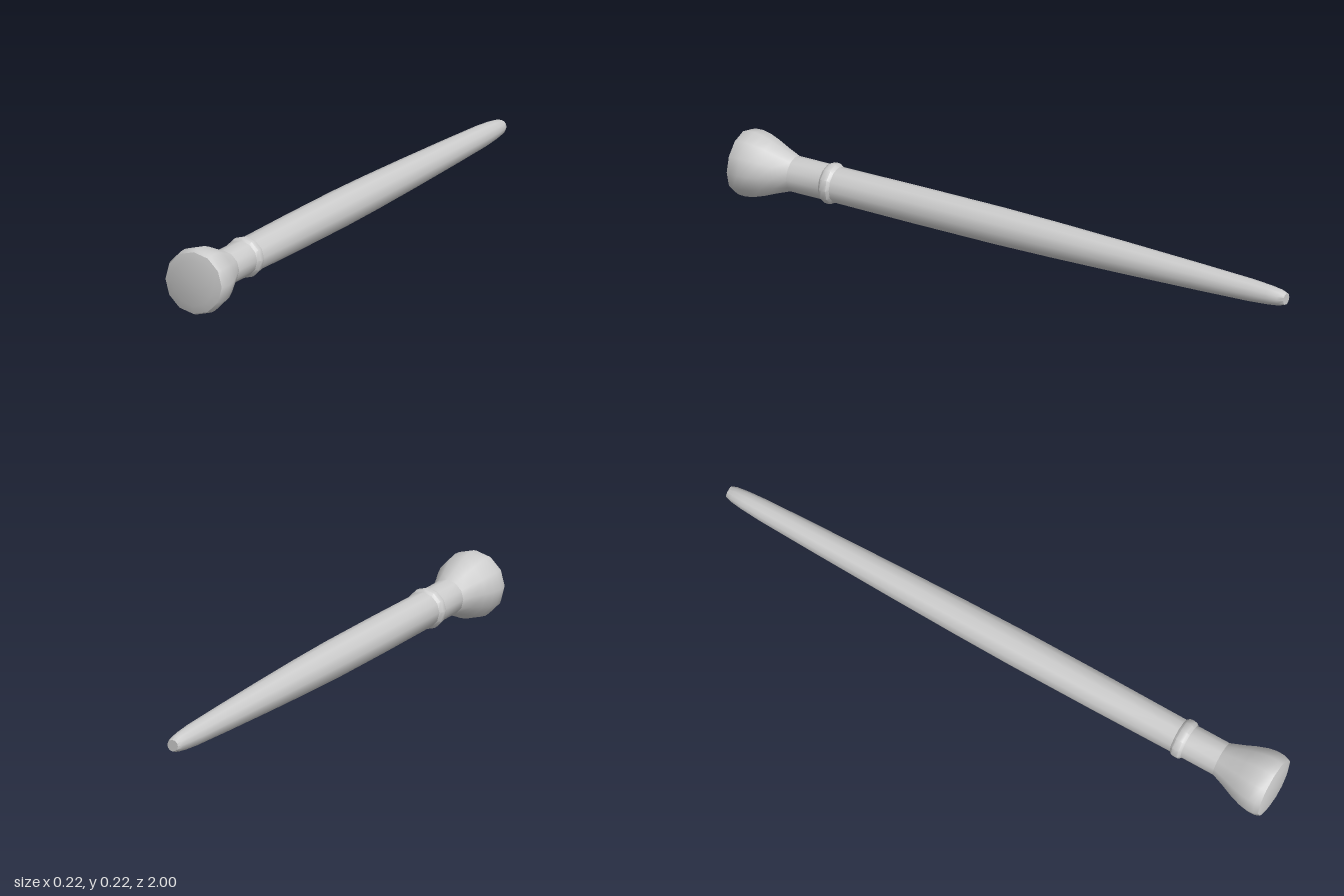
import * as THREE from 'three';
import { toCreasedNormals } from 'three/addons/utils/BufferGeometryUtils.js';

const SIDES = 12;
const AXIS_HEIGHT = 0.11;

// Turned part along z; profile points are [radius, z], running from back to front.
function turned(name, profile, material) {
  const points = profile.map(([r, z]) => new THREE.Vector2(r, z));
  const geometry = new THREE.LatheGeometry(points, SIDES);
  geometry.rotateX(Math.PI / 2);
  const mesh = new THREE.Mesh(toCreasedNormals(geometry, 0.7), material);
  mesh.name = name;
  mesh.position.y = AXIS_HEIGHT;
  return mesh;
}

export function createModel() {
  const model = new THREE.Group();
  model.name = 'stick';
  const material = new THREE.MeshStandardMaterial({ color: 0xcccccc });

  // Long shaft, slightly swollen, tapering to a blunt tip
  model.add(turned('shaft', [
    [0, -1], [0.019, -1], [0.026, -0.98], [0.031, -0.94], [0.036, -0.87],
    [0.043, -0.67], [0.051, -0.4], [0.057, -0.15], [0.06, 0.05],
    [0.06, 0.35], [0.058, 0.645],
  ], material));

  // Raised ring between shaft and neck
  model.add(turned('collar', [
    [0.057, 0.642], [0.066, 0.652], [0.067, 0.664], [0.066, 0.674], [0.057, 0.684],
  ], material));

  // Straight neck
  model.add(turned('neck', [[0.058, 0.645], [0.058, 0.802]], material));

  // Flared head with a nearly flat end
  model.add(turned('head', [
    [0.058, 0.8], [0.075, 0.845], [0.092, 0.885], [0.104, 0.92],
    [0.109, 0.95], [0.108, 0.975], [0.102, 0.991], [0.075, 0.998], [0, 1],
  ], material));

  return model;
}
